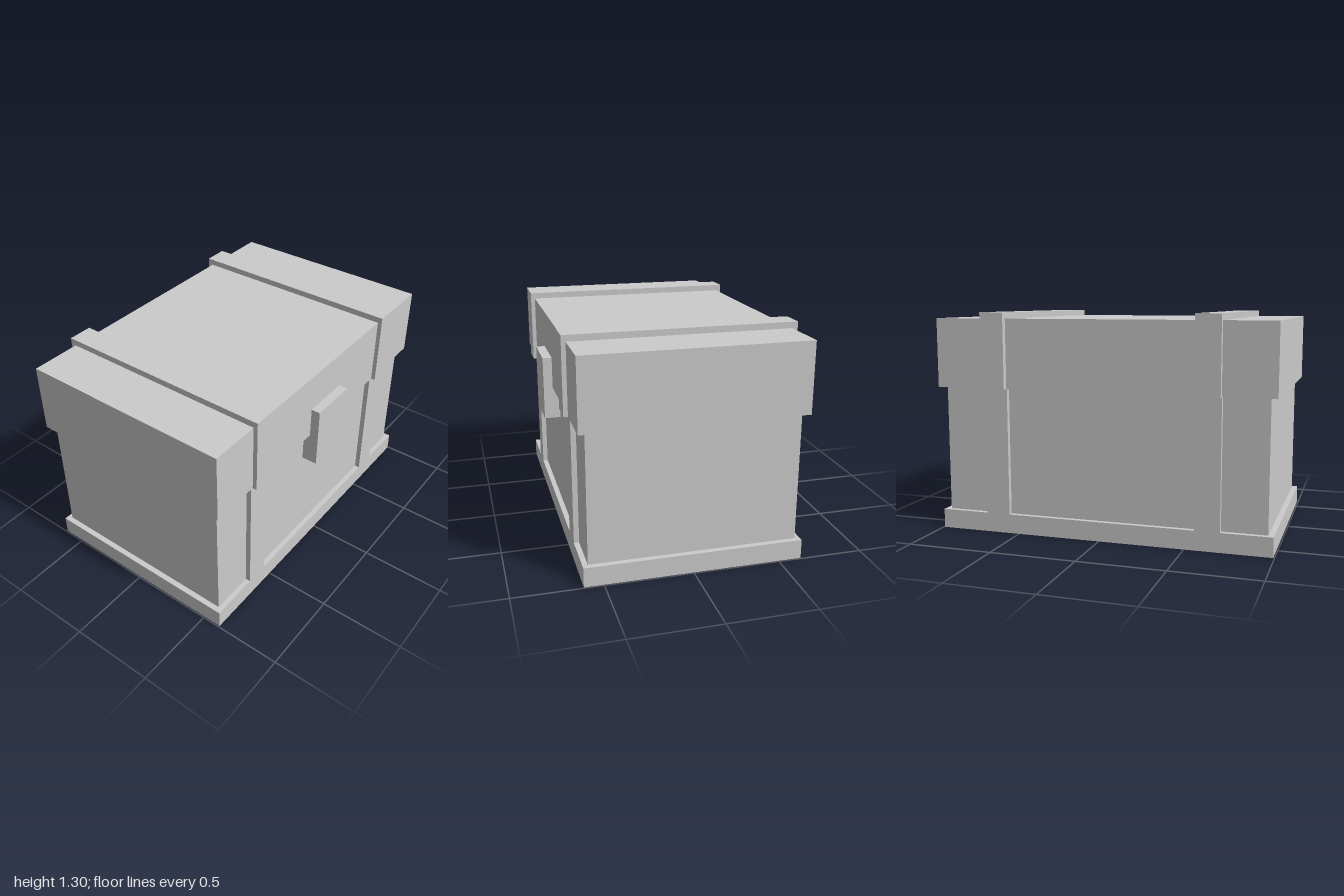
import * as THREE from 'three';

const material = new THREE.MeshStandardMaterial({ color: 0xcccccc, flatShading: true });

// Box given by its extents along each axis
function block(name, [x0, x1], [y0, y1], [z0, z1]) {
  const mesh = new THREE.Mesh(new THREE.BoxGeometry(x1 - x0, y1 - y0, z1 - z0), material);
  mesh.position.set((x0 + x1) / 2, (y0 + y1) / 2, (z0 + z1) / 2);
  mesh.name = name;
  return mesh;
}

export function createModel() {
  const chest = new THREE.Group();
  chest.name = 'chest';

  const baseTop = 0.113, lidBottom = 0.858, lidTop = 1.264;

  // Plinth, body and overhanging lid
  chest.add(
    block('base', [-0.993, 0.993], [0, baseTop], [-0.634, 0.61]),
    block('body', [-0.96, 0.96], [baseTop, lidBottom], [-0.605, 0.58]),
    block('lid', [-1, 1], [lidBottom, lidTop], [-0.64, 0.62]),
  );

  // Straps: the lower part is flush with the base, the upper part wraps the lid
  for (const [side, x] of [['left', 0.63], ['right', -0.63]]) {
    const width = [x - 0.072, x + 0.072];
    chest.add(
      block(side + 'BodyStrap', width, [baseTop, lidBottom], [-0.634, 0.61]),
      block(side + 'LidStrap', width, [lidBottom, 1.3], [-0.672, 0.645]),
    );
  }

  // Latch plate bridging lid and body at the front
  chest.add(block('latch', [-0.148, 0.148], [0.67, 1.04], [0.57, 0.673]));

  return chest;
}
